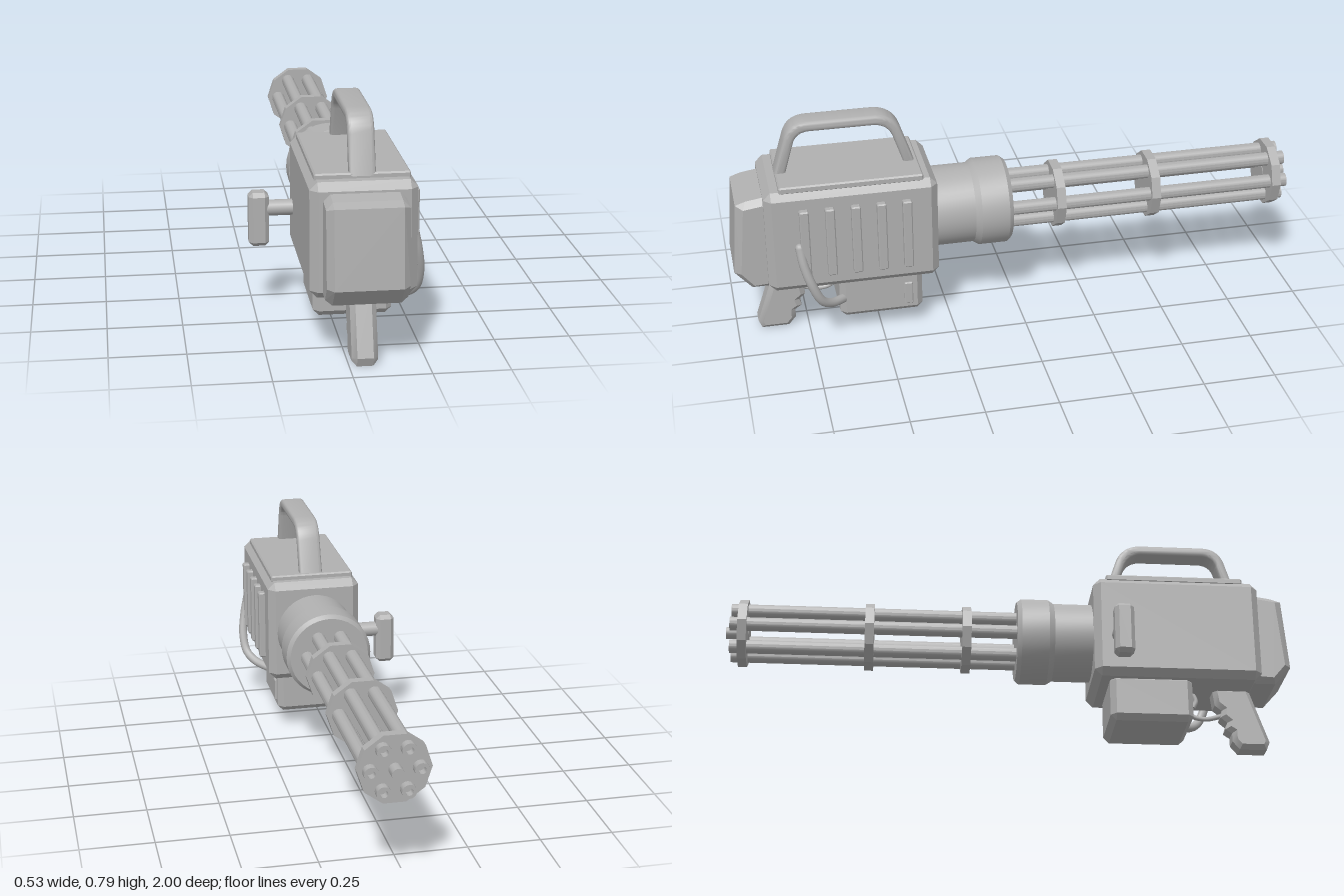
import * as THREE from 'three';
import { toCreasedNormals } from 'three/addons/utils/BufferGeometryUtils.js';
import { ConvexGeometry } from 'three/addons/geometries/ConvexGeometry.js';

const CX = 0.05;   // x of the main axis
const AXIS_Y = 0.403; // height of the barrel axis
const metal = new THREE.MeshStandardMaterial({ color: 0xb0b0b0 });
metal.name = 'grey metal';

const V = (x, y, z) => new THREE.Vector3(x, y, z);

// Box given by its limits, with every edge cut by c
function chamferBox(x0, x1, y0, y1, z0, z1, c) {
  const pts = [];
  for (const i of [0, 1]) for (const j of [0, 1]) for (const k of [0, 1]) {
    const x = i ? x1 : x0, y = j ? y1 : y0, z = k ? z1 : z0;
    const dx = i ? -c : c, dy = j ? -c : c, dz = k ? -c : c;
    pts.push(V(x, y + dy, z + dz), V(x + dx, y, z + dz), V(x + dx, y + dy, z));
  }
  return new ConvexGeometry(pts);
}

// Round part about the barrel axis; profile is [radius, z] from rear to muzzle
function turned(profile, sides = 32) {
  const g = new THREE.LatheGeometry(profile.map(([r, z]) => new THREE.Vector2(r, -z)), sides);
  g.rotateX(-Math.PI / 2);
  return toCreasedNormals(g, 0.5);
}

// Side outline in (z, y) given a width along x
function sidePlate(shape, width, bevel, segments) {
  const depth = width - 2 * bevel;
  const g = new THREE.ExtrudeGeometry(shape, {
    depth, bevelEnabled: true, bevelSize: bevel, bevelThickness: bevel,
    bevelOffset: -bevel, bevelSegments: segments, curveSegments: 10,
  });
  g.translate(0, 0, -depth / 2);
  g.rotateY(-Math.PI / 2);
  g.translate(CX, 0, 0);
  return toCreasedNormals(g, 0.6);
}

export function createModel() {
  const model = new THREE.Group();
  model.name = 'rotaryGun';
  const add = (name, geometry, x = 0, y = 0, z = 0) => {
    const m = new THREE.Mesh(geometry, metal);
    m.name = name;
    m.position.set(x, y, z);
    model.add(m);
    return m;
  };

  // Body and top plate
  add('body', chamferBox(-0.12, 0.22, 0.216, 0.593, 0.298, 0.888, 0.025));
  add('topPlate', chamferBox(-0.102, 0.202, 0.585, 0.61, 0.345, 0.835, 0.005));

  // Tapered rear block
  const rear = [];
  for (const s of [-1, 1]) {
    for (const [dx, y, z] of [
      [0.13, 0.545, 0.85], [0.108, 0.567, 0.85], [0.13, 0.24, 0.85], [0.108, 0.218, 0.85],
      [0.13, 0.53, 0.955], [0.108, 0.552, 0.945], [0.108, 0.54, 0.98],
      [0.13, 0.285, 0.977], [0.108, 0.283, 1.0], [0.13, 0.235, 0.935], [0.108, 0.218, 0.942],
    ]) rear.push(V(CX + s * dx, y, z));
  }
  add('rearBlock', new ConvexGeometry(rear));

  // Carrying handle
  const h = new THREE.Shape();
  h.moveTo(0.837, 0.6);
  h.lineTo(0.8, 0.725);
  h.quadraticCurveTo(0.782, 0.79, 0.715, 0.79);
  h.lineTo(0.485, 0.79);
  h.quadraticCurveTo(0.42, 0.785, 0.398, 0.725);
  h.lineTo(0.355, 0.6);
  h.lineTo(0.393, 0.6);
  h.lineTo(0.43, 0.71);
  h.quadraticCurveTo(0.448, 0.75, 0.49, 0.754);
  h.lineTo(0.71, 0.754);
  h.quadraticCurveTo(0.755, 0.754, 0.767, 0.713);
  h.lineTo(0.8, 0.6);
  add('carryHandle', sidePlate(h, 0.085, 0.012, 3));

  // Ribs on the left flank
  for (let i = 0; i < 5; i++) {
    const z = 0.408 + i * 0.0875;
    add('sideRib', chamferBox(0.2, 0.242, 0.278, 0.532, z - 0.016, z + 0.016, 0.004));
  }

  // Ammunition box with its latch
  add('ammoBox', chamferBox(-0.08, 0.18, 0.064, 0.232, 0.354, 0.645, 0.02));
  add('ammoLatch', chamferBox(0.16, 0.187, 0.098, 0.182, 0.39, 0.42, 0.003));

  // Feed hose
  const hose = new THREE.CatmullRomCurve3([
    V(0.226, 0.39, 0.778), V(0.24, 0.325, 0.768), V(0.25, 0.25, 0.745),
    V(0.242, 0.185, 0.715), V(0.215, 0.155, 0.68), V(0.165, 0.138, 0.63),
  ]);
  add('hose', new THREE.TubeGeometry(hose, 32, 0.016, 12));
  add('hoseEnd', new THREE.SphereGeometry(0.016, 12, 8), 0.226, 0.39, 0.778);

  // Pistol grip with finger notches
  const grip = new THREE.Shape([
    [0.86, 0.23], [0.927, 0.03], [0.915, 0], [0.82, 0], [0.795, 0.03], [0.795, 0.06],
    [0.772, 0.075], [0.78, 0.1], [0.757, 0.12], [0.762, 0.145], [0.738, 0.165], [0.73, 0.23],
  ].map(([z, y]) => new THREE.Vector2(z, y)));
  add('pistolGrip', sidePlate(grip, 0.084, 0.016, 1));

  // Trigger and guard
  const guard = new THREE.CatmullRomCurve3([
    V(CX, 0.135, 0.765), V(CX, 0.122, 0.71), V(CX, 0.13, 0.665), V(CX, 0.16, 0.635),
  ]);
  add('triggerGuard', new THREE.TubeGeometry(guard, 16, 0.009, 8));
  const trigger = new THREE.CatmullRomCurve3([
    V(CX, 0.225, 0.66), V(CX, 0.19, 0.675), V(CX, 0.165, 0.665),
  ]);
  add('trigger', new THREE.TubeGeometry(trigger, 10, 0.009, 8));

  // Side grip on its rod
  const rod = new THREE.CylinderGeometry(0.027, 0.027, 0.12, 20);
  rod.rotateZ(Math.PI / 2);
  add('sideGripRod', rod, -0.155, 0.362, 0.385);
  add('sideGrip', chamferBox(-0.268, -0.2, 0.235, 0.421, 0.351, 0.419, 0.014));

  // Barrel housing with stepped collar
  add('barrelHousing', turned([
    [0, 0.32], [0.14, 0.32], [0.14, 0.162], [0.153, 0.142], [0.153, 0.045], [0.141, 0.03], [0, 0.03],
  ], 40), CX, AXIS_Y, 0);

  // Six hollow barrels and the centre pin
  const barrel = turned([
    [0.024, 0.05], [0.024, -0.982], [0.013, -0.982], [0.013, -0.945], [0, -0.945],
  ], 16);
  for (let i = 0; i < 6; i++) {
    const a = i * Math.PI / 3;
    add('barrel', barrel, CX + 0.08 * Math.cos(a), AXIS_Y + 0.08 * Math.sin(a), 0);
  }
  add('centrePin', turned([[0, -0.92], [0.021, -0.92], [0.021, -1], [0, -1]], 16), CX, AXIS_Y, 0);

  // Ten-sided clamp discs
  for (const z of [-0.148, -0.492, -0.938]) {
    const disc = new THREE.CylinderGeometry(0.12, 0.12, 0.032, 10);
    disc.rotateY(Math.PI / 2);
    disc.rotateX(Math.PI / 2);
    add('clampDisc', toCreasedNormals(disc, 0.3), CX, AXIS_Y, z);
  }
  return model;
}
